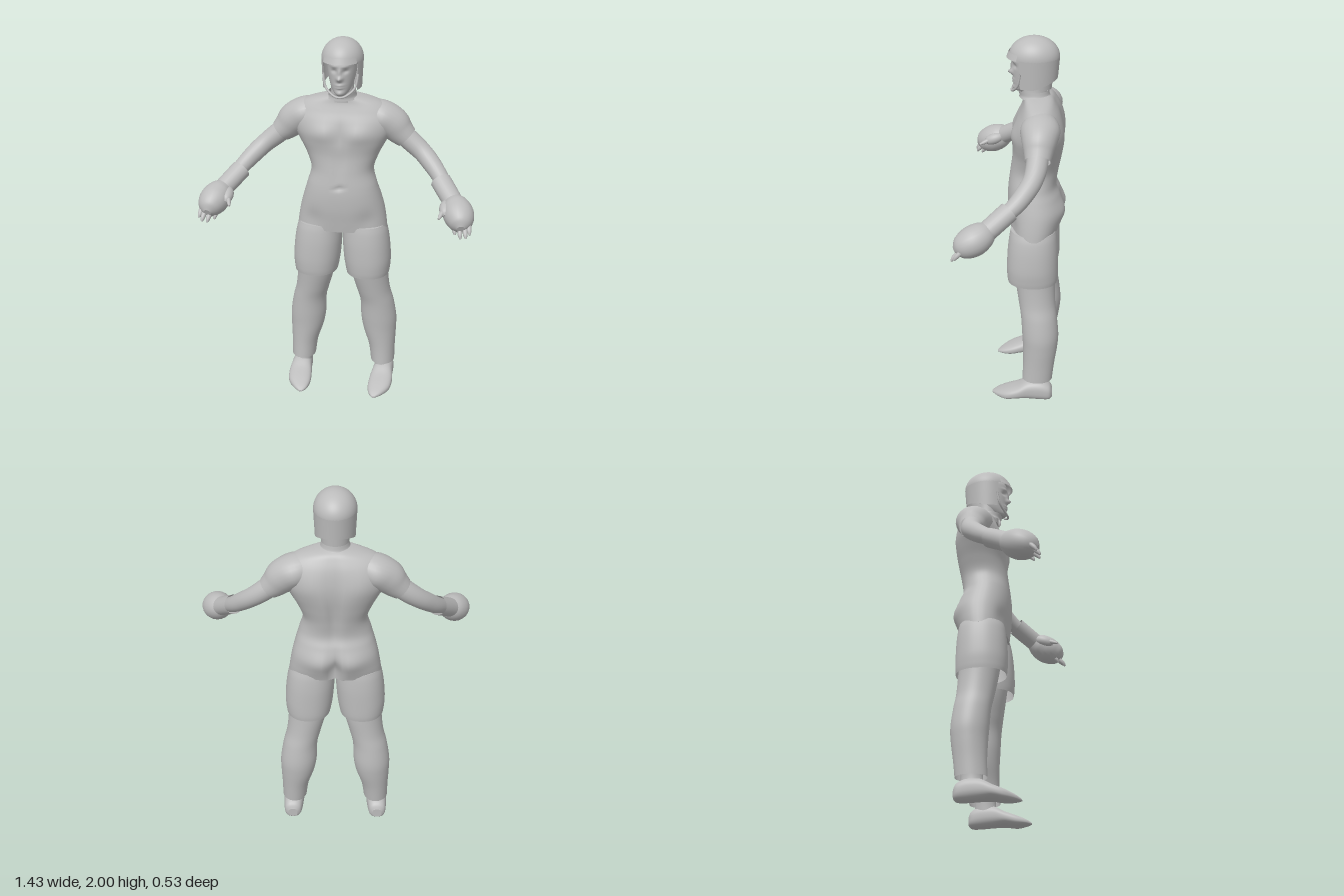
import * as THREE from 'three';

const skin = new THREE.MeshStandardMaterial({ color: 0xbcbcbc, side: THREE.DoubleSide });
skin.name = 'plain grey';
const SEG = 48;

// Resamples rows of numbers along a Catmull-Rom curve
function smooth(rows, steps) {
  const out = [], n = rows.length - 1, at = i => rows[Math.max(0, Math.min(n, i))];
  for (let i = 0; i < n; i++) for (let k = 0; k < steps; k++) {
    const t = k / steps;
    out.push(rows[i].map((b, c) => {
      const a = at(i - 1)[c], d = at(i + 1)[c], e = at(i + 2)[c];
      return b + 0.5 * t * (d - a + t * (2 * a - 5 * b + 4 * d - e + t * (3 * (b - d) + e - a)));
    }));
  }
  out.push(rows[n]);
  return out;
}

// Skins a list of closed rings, with optional caps at both ends
function loft(rings, capStart = true, capEnd = true) {
  const center = r => {
    const c = r.reduce((s, p) => s.add(p), new THREE.Vector3()).divideScalar(r.length);
    return r.map(() => c);
  };
  const all = [...rings], n = rings[0].length, idx = [];
  if (capStart) all.unshift(center(rings[0]), rings[0]);
  if (capEnd) all.push(rings.at(-1), center(rings.at(-1)));
  for (let j = 0; j < all.length - 1; j++) for (let i = 0; i < n; i++) {
    const a = j * n + i, b = j * n + (i + 1) % n;
    idx.push(a, a + n, b, b, a + n, b + n);
  }
  const g = new THREE.BufferGeometry().setFromPoints(all.flat());
  g.setIndex(idx);
  g.computeVertexNormals();
  return g;
}

// Upright body section rows: [y, centre x, half width, z front, z back]
function body(rows, { power = 1, steps = 6, bumps = [], caps = [true, true] } = {}) {
  const pw = v => Math.sign(v) * Math.abs(v) ** power;
  const rings = smooth(rows, steps).map(([y, cx, hx, zf, zb]) => Array.from({ length: SEG }, (_, i) => {
    const a = i / SEG * Math.PI * 2, s = Math.sin(a), x = hx * pw(Math.cos(a));
    let z = (zf + zb) / 2 + (zf - zb) / 2 * pw(s);
    // Bumps: [x, y, spread x, spread y, height, side], mirrored in x
    for (const [bx, by, sx, sy, h, side] of bumps) if (side * s > 0)
      z += side * h * Math.abs(s) * Math.exp(-(((Math.abs(x) - bx) / sx) ** 2) - ((y - by) / sy) ** 2);
    return new THREE.Vector3(cx + x, y, z);
  }));
  return loft(rings, ...caps);
}

// Limb along a path: [x, y, z, radius across, radius up]
function limb(rows, s = 1, caps = [true, true], steps = 5) {
  const pts = smooth(rows.map(([x, y, z, a, b = a]) => [x * s, y, z, a, b]), steps);
  const pos = pts.map(p => new THREE.Vector3(...p));
  return loft(pts.map((p, j) => {
    const t = pos[Math.min(j + 1, pts.length - 1)].clone().sub(pos[Math.max(j - 1, 0)]).normalize();
    const u = t.clone().cross(new THREE.Vector3(0, 1, 0)).normalize(), v = u.clone().cross(t);
    return Array.from({ length: 24 }, (_, i) => {
      const a = i / 24 * Math.PI * 2;
      return pos[j].clone().addScaledVector(u, p[3] * Math.cos(a)).addScaledVector(v, p[4] * Math.sin(a));
    });
  }), ...caps);
}

export function createModel() {
  const model = new THREE.Group();
  const add = (name, geo) => {
    const m = new THREE.Mesh(geo, skin);
    m.name = name;
    model.add(m);
    return m;
  };

  // Torso with chest, spine and seat shaping
  add('torso', body([
    [0.965, 0, 0.242, 0.015, -0.235], [1.02, 0, 0.235, 0.022, -0.25], [1.09, 0, 0.222, 0.03, -0.262],
    [1.16, 0, 0.203, 0.032, -0.245], [1.22, 0, 0.185, 0.028, -0.225], [1.3, 0, 0.166, 0.018, -0.235],
    [1.38, 0, 0.192, 0.008, -0.25], [1.45, 0, 0.228, 0.008, -0.26], [1.51, 0, 0.26, 0.002, -0.26],
    [1.57, 0, 0.275, -0.012, -0.25], [1.62, 0, 0.255, -0.032, -0.235], [1.66, 0, 0.205, -0.046, -0.215],
    [1.685, 0, 0.135, -0.05, -0.198], [1.7, 0, 0.065, -0.05, -0.175],
  ], {
    power: 0.88, steps: 7, bumps: [
      [0.1, 1.51, 0.08, 0.05, 0.016, 1], [0, 1.5, 0.022, 0.06, -0.014, 1], [0, 1.34, 0.014, 0.1, -0.007, 1],
      [0, 1.22, 0.01, 0.012, -0.012, 1], [0.15, 1.03, 0.05, 0.06, -0.012, 1], [0, 1.4, 0.028, 0.2, -0.022, -1],
      [0, 1.03, 0.02, 0.08, -0.045, -1], [0.085, 1.07, 0.07, 0.06, 0.014, -1], [0.13, 1.53, 0.06, 0.08, 0.01, -1],
    ],
  }));

  // Neck and collar
  add('neck', body([[1.67, 0, 0.07, -0.04, -0.18], [1.72, 0, 0.06, -0.04, -0.165], [1.8, 0, 0.058, -0.04, -0.165]]));
  add('collar', body([[1.685, 0, 0.085, -0.025, -0.19], [1.7, 0, 0.074, -0.025, -0.18], [1.722, 0, 0.07, -0.018, -0.176]],
    { caps: [false, false] }));

  // Head with eye sockets, nose, lips and cheeks
  add('head', body([
    [1.718, 0, 0.022, -0.003, -0.07], [1.73, 0, 0.038, 0.004, -0.11], [1.76, 0, 0.056, 0.004, -0.15],
    [1.81, 0, 0.07, 0.006, -0.18], [1.86, 0, 0.077, 0.008, -0.2], [1.91, 0, 0.078, 0.006, -0.205], [1.95, 0, 0.06, -0.02, -0.17],
  ], {
    steps: 10, bumps: [
      [0, 1.812, 0.014, 0.014, 0.024, 1], [0, 1.845, 0.009, 0.025, 0.012, 1], [0.03, 1.85, 0.014, 0.011, -0.012, 1],
      [0, 1.777, 0.022, 0.007, 0.008, 1], [0, 1.763, 0.02, 0.006, 0.007, 1], [0, 1.735, 0.02, 0.012, 0.007, 1],
      [0.03, 1.876, 0.022, 0.008, 0.006, 1],
    ],
  }));

  // Helmet: dome, brim and a skirt that is open at the face
  const dome = new THREE.SphereGeometry(1, 48, 20, 0, Math.PI * 2, 0, Math.PI / 2);
  add('helmetDome', dome.scale(0.108, 0.105, 0.129).translate(0, 1.895, -0.1));
  const brim = new THREE.CylinderGeometry(1, 1.09, 0.03, 24, 1, true, -0.9, 1.8);
  add('helmetBrim', brim.scale(0.102, 1, 0.128).translate(0, 1.908, -0.1));
  const skirt = new THREE.CylinderGeometry(1, 0.93, 1, 40, 6, true, 0.98, Math.PI * 2 - 1.96);
  const sp = skirt.attributes.position;
  for (let i = 0; i < sp.count; i++) {
    const drop = 0.5 - sp.getY(i), back = Math.max(0, -sp.getZ(i));
    sp.setXYZ(i, sp.getX(i) * 0.108, 1.897 - drop * (0.15 - 0.045 * back), sp.getZ(i) * 0.129 - 0.1);
  }
  skirt.computeVertexNormals();
  add('helmetSkirt', skirt);
  add('napeBand', new THREE.CylinderGeometry(0.075, 0.07, 0.065, 24, 1, true, 1.8, Math.PI * 2 - 3.6).translate(0, 1.765, -0.12));

  // Chin strap
  const chin = [[-0.09, 1.83, -0.035], [-0.075, 1.76, -0.02], [-0.03, 1.722, 0.006], [0, 1.716, 0.014],
    [0.03, 1.722, 0.006], [0.075, 1.76, -0.02], [0.09, 1.83, -0.035]].map(p => new THREE.Vector3(...p));
  add('chinStrap', new THREE.TubeGeometry(new THREE.CatmullRomCurve3(chin), 40, 0.006, 8));

  for (const s of [1, -1]) {
    const side = s > 0 ? 'left' : 'right';
    // Short sleeve and bare arm
    add(side + 'Sleeve', limb([
      [0.13, 1.595, -0.14, 0.075, 0.075], [0.2, 1.578, -0.142, 0.1, 0.085], [0.26, 1.54, -0.14, 0.088, 0.088],
      [0.3, 1.5, -0.138, 0.074, 0.074], [0.335, 1.468, -0.136, 0.064, 0.06],
    ], s, [true, false]));
    add(side + 'Arm', limb([
      [0.28, 1.515, -0.138, 0.055], [0.36, 1.448, -0.132, 0.054], [0.42, 1.4, -0.115, 0.05], [0.47, 1.355, -0.08, 0.048],
      [0.52, 1.305, -0.03, 0.043], [0.58, 1.24, 0.06, 0.034],
    ], s));

    // Glove: cuff, mitt, thumb and fingertips
    add(side + 'GloveCuff', limb([
      [0.528, 1.288, -0.008, 0.055, 0.05], [0.565, 1.252, 0.042, 0.054, 0.05], [0.602, 1.216, 0.092, 0.052, 0.05],
    ], s, [false, true]));
    add(side + 'GloveMitt', limb([
      [0.595, 1.222, 0.083, 0.046, 0.046], [0.612, 1.205, 0.11, 0.068, 0.066], [0.632, 1.182, 0.15, 0.079, 0.076],
      [0.645, 1.162, 0.19, 0.073, 0.07], [0.652, 1.145, 0.225, 0.052, 0.052], [0.655, 1.135, 0.246, 0.02, 0.02],
    ], s));
    add(side + 'GloveThumb', limb([
      [0.572, 1.225, 0.1, 0.012], [0.568, 1.212, 0.125, 0.027], [0.567, 1.2, 0.155, 0.031], [0.568, 1.188, 0.185, 0.024],
      [0.57, 1.182, 0.2, 0.008],
    ], s));
    add(side + 'ThumbTip', limb([[0.56, 1.2, 0.17, 0.012], [0.548, 1.185, 0.205, 0.011], [0.54, 1.175, 0.23, 0.005]], s));
    [[0.625, 1.092, 0.215], [0.655, 1.085, 0.245], [0.682, 1.09, 0.25], [0.7, 1.105, 0.235]].forEach(([x, y, z], i) =>
      add(side + 'Finger' + (i + 1), limb([
        [x - 0.012, y + 0.055, z - 0.04, 0.013], [x - 0.004, y + 0.02, z - 0.004, 0.012], [x, y, z + 0.01, 0.005],
      ], s)));

    // Shorts leg, open at the hem
    add(side + 'ShortsLeg', body([
      [0.99, s * 0.118, 0.114, 0.01, -0.225], [0.95, s * 0.125, 0.121, 0.018, -0.232], [0.88, s * 0.131, 0.127, 0.026, -0.238],
      [0.79, s * 0.138, 0.127, 0.03, -0.24], [0.73, s * 0.141, 0.121, 0.028, -0.24], [0.7, s * 0.142, 0.116, 0.024, -0.237],
    ].reverse(), { power: 0.9, caps: [false, true] }));

    // Trouser leg, ankle and pointed shoe
    add(side + 'Leg', body([
      [0.13, s * 0.226, 0.066, -0.058, -0.22], [0.22, s * 0.22, 0.073, -0.062, -0.23], [0.32, s * 0.206, 0.091, -0.06, -0.245],
      [0.4, s * 0.199, 0.098, -0.055, -0.25], [0.5, s * 0.189, 0.092, -0.048, -0.24], [0.58, s * 0.169, 0.092, -0.035, -0.23],
      [0.68, s * 0.15, 0.1, -0.018, -0.225], [0.8, s * 0.14, 0.105, 0, -0.22],
    ], { caps: [false, true] }));
    add(side + 'Ankle', body([
      [0.07, s * 0.228, 0.046, -0.065, -0.195], [0.12, s * 0.222, 0.042, -0.08, -0.19], [0.2, s * 0.22, 0.045, -0.08, -0.195],
    ]));
    add(side + 'Shoe', body([
      [-0.222, s * 0.236, 0.026, -0.018, -0.07], [-0.205, s * 0.236, 0.045, -0.006, -0.098], [-0.16, s * 0.234, 0.053, -0.004, -0.118],
      [-0.09, s * 0.232, 0.057, -0.008, -0.116], [-0.03, s * 0.23, 0.064, -0.01, -0.085], [0.03, s * 0.224, 0.06, -0.001, -0.06],
      [0.08, s * 0.212, 0.036, -0.004, -0.036], [0.108, s * 0.205, 0.008, -0.008, -0.018],
    ], { power: 0.8 }).rotateX(Math.PI / 2));
  }
  return model;
}
